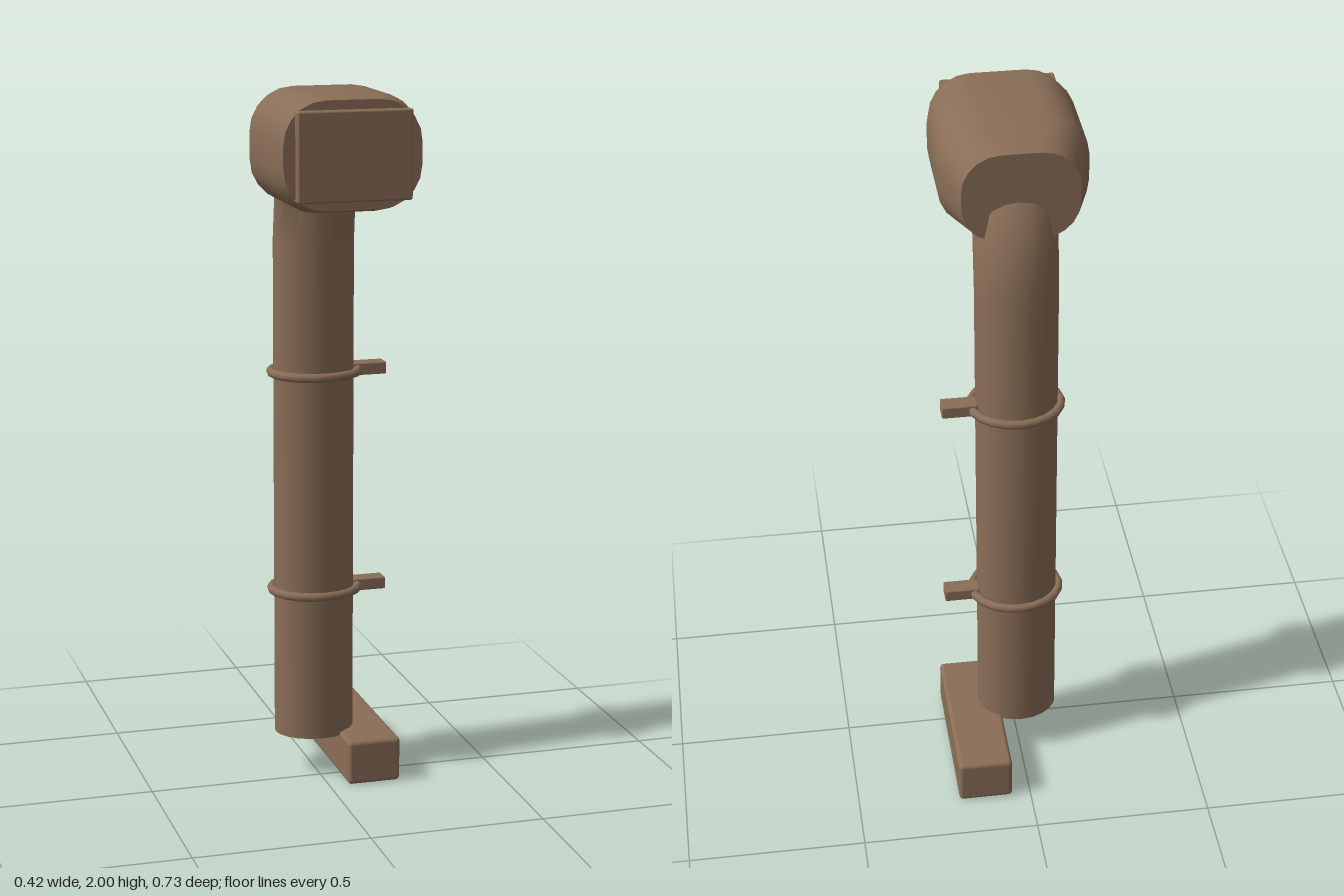
import * as THREE from 'three';
import { toCreasedNormals } from 'three/addons/utils/BufferGeometryUtils.js';
import { RoundedBoxGeometry } from 'three/addons/geometries/RoundedBoxGeometry.js';

// Skin a list of equal-length rings, with flat caps at both ends
function loft(rings, crease) {
  const n = rings[0].length;
  const pos = [], idx = [];
  rings.forEach(r => r.forEach(p => pos.push(...p)));
  for (let i = 0; i < rings.length - 1; i++) {
    for (let j = 0; j < n; j++) {
      const a = i * n + j, b = i * n + (j + 1) % n;
      idx.push(a, b, b + n, a, b + n, a + n);
    }
  }
  const last = (rings.length - 1) * n;
  for (let j = 1; j < n - 1; j++) {
    idx.push(0, j + 1, j, last, last + j, last + j + 1);
  }
  const g = new THREE.BufferGeometry();
  g.setAttribute('position', new THREE.Float32BufferAttribute(pos, 3));
  g.setIndex(idx);
  return toCreasedNormals(g, crease);
}

// Elliptical pipe section leaning forward by a tilt angle
function pipeRing([y, z, tilt], rx = 0.115, rz = 0.098, n = 20) {
  return Array.from({ length: n }, (_, j) => {
    const a = j / n * Math.PI * 2, s = Math.sin(a) * rz;
    return [rx * Math.cos(a), y + s * Math.sin(tilt), z - s * Math.cos(tilt)];
  });
}

// Rounded rectangle section of the head
function headRing([z, hx, y0, y1, r]) {
  const cy = (y0 + y1) / 2, hy = (y1 - y0) / 2, ring = [];
  for (let q = 0; q < 4; q++) {
    const sx = q === 0 || q === 3 ? 1 : -1, sy = q < 2 ? 1 : -1;
    for (let k = 0; k <= 5; k++) {
      const a = (q + k / 5) * Math.PI / 2;
      ring.push([
        -0.008 + sx * (hx - r) + r * Math.cos(a),
        cy + sy * (hy - r) + r * Math.sin(a), z]);
    }
  }
  return ring;
}

export function createModel() {
  const model = new THREE.Group();
  model.name = 'pipeWithHead';
  const brown = new THREE.MeshStandardMaterial({ color: 0x8a6e57 });
  brown.name = 'brown';

  const add = (name, geometry, x = 0, y = 0, z = 0) => {
    const mesh = new THREE.Mesh(geometry, brown);
    mesh.name = name;
    mesh.position.set(x, y, z);
    model.add(mesh);
    return mesh;
  };

  // Upright pipe, bending forward into the head
  add('pipe', loft([
    [0.12, -0.072, 0], [1.56, -0.072, 0.08],
    [1.765, -0.045, 0.6], [1.82, 0.05, 1.1],
  ].map(s => pipeRing(s)), 0.9));

  // Barrel-like head, tapered to the back and at the front rim
  add('head', loft([
    [-0.105, 0.158, 1.72, 1.975, 0.105],
    [0.04, 0.203, 1.687, 2.0, 0.12],
    [0.275, 0.203, 1.687, 2.0, 0.12],
    [0.34, 0.19, 1.7, 1.99, 0.115],
  ].map(headRing), 0.7));
  add('frontPanel', new RoundedBoxGeometry(0.315, 0.24, 0.045, 2, 0.006), -0.008, 1.845, 0.3425);

  // Clamp rings with side tabs
  for (const y of [0.55, 1.187]) {
    const ring = new THREE.TorusGeometry(0.125, 0.013, 8, 20);
    ring.rotateX(Math.PI / 2);
    add('clampRing', ring, 0.003, y, -0.072).scale.z = 0.89;
    add('clampTab', new RoundedBoxGeometry(0.1, 0.035, 0.05, 2, 0.004), 0.16, y, -0.075);
  }

  // Block at the foot
  add('footBlock', new RoundedBoxGeometry(0.155, 0.13, 0.475, 3, 0.012), 0.131, 0.066, -0.128);
  return model;
}
